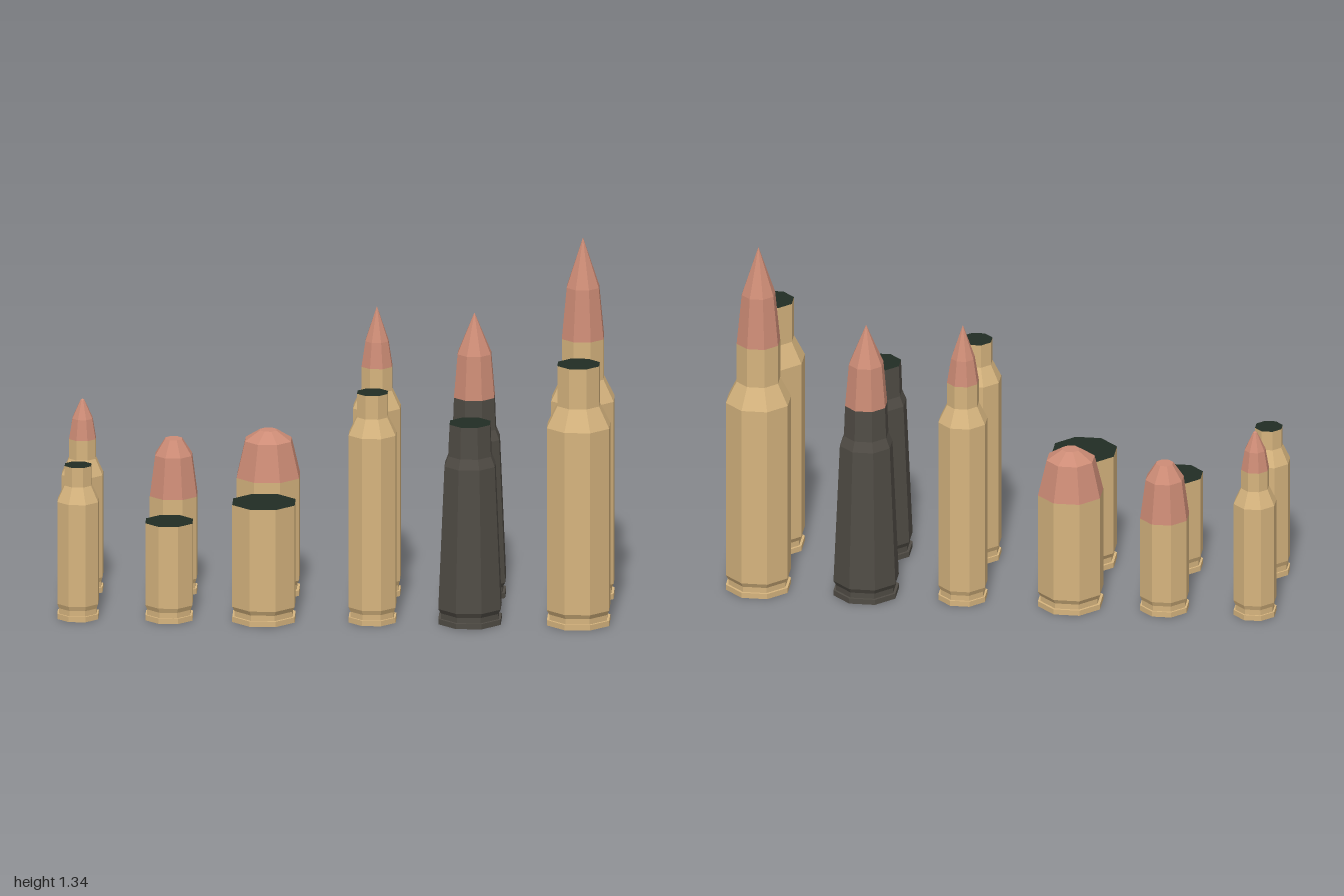
import * as THREE from 'three';

const brass = new THREE.MeshStandardMaterial({ color: 0xd6b47e, name: 'brass' });
const copper = new THREE.MeshStandardMaterial({ color: 0xcd8c76, name: 'copper' });
const steel = new THREE.MeshStandardMaterial({ color: 0x504c45, name: 'dark steel' });
const hollow = new THREE.MeshStandardMaterial({ color: 0x212d24, name: 'dark hollow' });

const SIDES = 8;
const ROW_Z = 0.19;
const PRIMER_R = 0.037;

// x position, case wall [half width, height] above the groove, bullet profile above the mouth
const rounds = [
  { name: 'smallRifle', x: -0.926, r: 0.074, wall: [[0.074, 0.438], [0.048, 0.497], [0.048, 0.57]],
    bullet: [[0.036, 0.645], [0.007, 0.712], [0, 0.717]] },
  { name: 'pistol', x: -0.596, r: 0.085, wall: [[0.085, 0.363]],
    bullet: [[0.066, 0.513], [0.03, 0.572], [0, 0.572]] },
  { name: 'heavyPistol', x: -0.253, r: 0.113, wall: [[0.113, 0.438]],
    bullet: [[0.083, 0.572], [0.03, 0.608], [0, 0.608]] },
  { name: 'longRifle', x: 0.14, r: 0.085, wall: [[0.085, 0.7], [0.055, 0.765], [0.055, 0.853]],
    bullet: [[0.041, 0.947], [0, 1.075]] },
  { name: 'taperedRifle', x: 0.493, r: 0.113, metal: steel, wall: [[0.091, 0.588], [0.077, 0.625], [0.073, 0.743]],
    bullet: [[0.06, 0.904], [0, 1.055]] },
  { name: 'heavyRifle', x: 0.886, r: 0.113, wall: [[0.113, 0.738], [0.0755, 0.817], [0.0755, 0.967]],
    bullet: [[0.058, 1.157], [0, 1.34]] },
];

// Faceted octagonal lathe; profile radii are measured to the flats
function facet(name, profile, material) {
  const points = profile.map(([r, y]) => new THREE.Vector2(r / Math.cos(Math.PI / SIDES), y));
  const geometry = new THREE.LatheGeometry(points, SIDES, Math.PI / SIDES).toNonIndexed();
  geometry.computeVertexNormals();
  const mesh = new THREE.Mesh(geometry, material);
  mesh.name = name;
  return mesh;
}

function cartridge(spec, loaded) {
  const { r, wall, bullet } = spec;
  const group = new THREE.Group();
  group.name = spec.name + (loaded ? 'Cartridge' : 'EmptyCase');
  const mouth = wall[wall.length - 1];

  // Case: base, rim, extractor groove and wall
  group.add(facet('case', [
    [PRIMER_R, 0], [r, 0], [r, 0.02], [r * 0.92, 0.02], [r * 0.92, 0.04], [r, 0.057], ...wall,
  ], spec.metal ?? brass));

  // Dimpled primer in the base
  group.add(facet('primer', [[0, 0.012], [PRIMER_R, 0]], brass));

  // Bullet, or the dark open mouth of a spent case
  group.add(loaded
    ? facet('bullet', [mouth, ...bullet], copper)
    : facet('mouth', [mouth, [0, mouth[1]]], hollow));

  group.position.set(spec.x, 0, loaded ? -ROW_Z : ROW_Z);
  return group;
}

export function createModel() {
  const model = new THREE.Group();
  model.name = 'ammunitionSet';
  for (const spec of rounds) model.add(cartridge(spec, true), cartridge(spec, false));
  return model;
}
